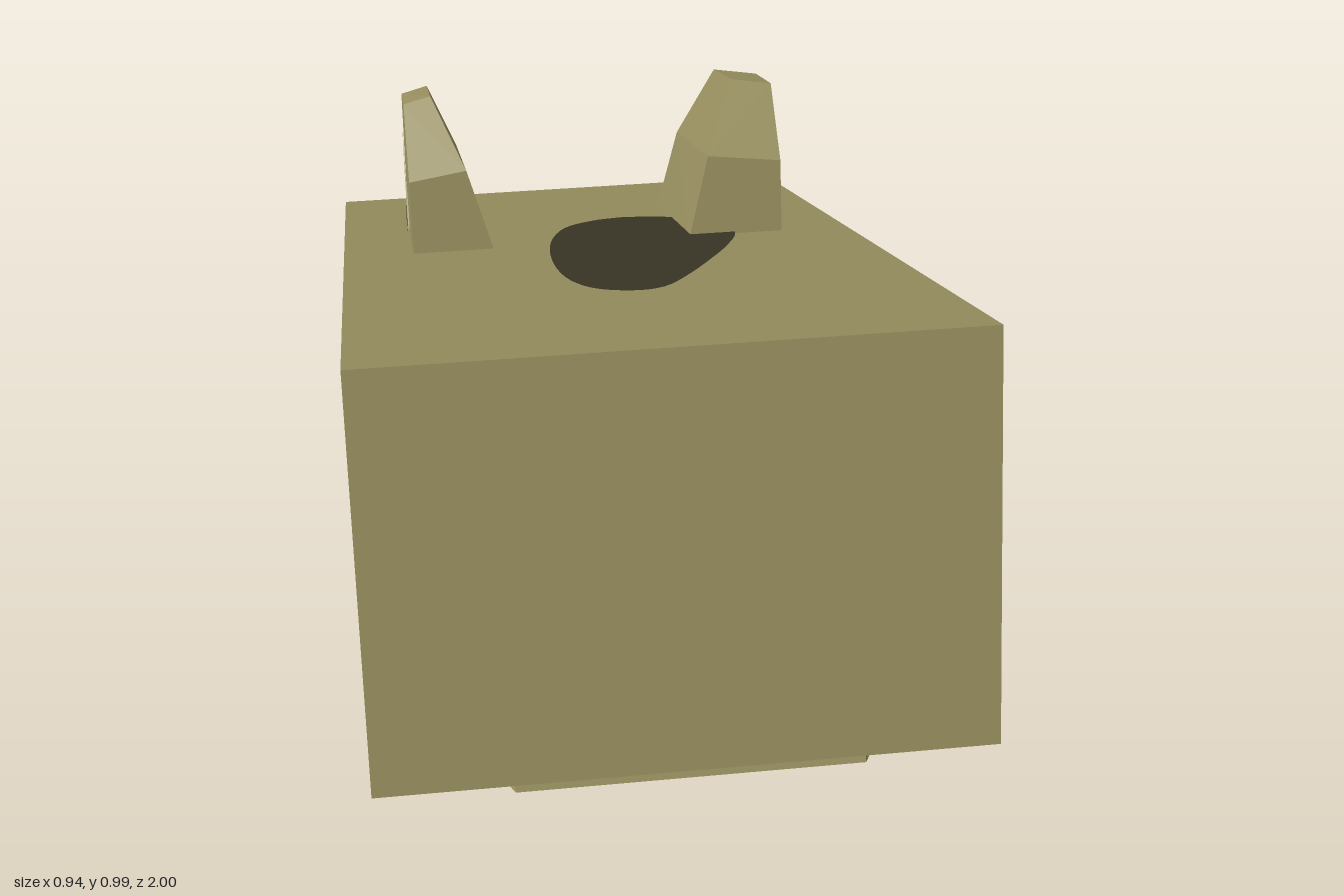
import * as THREE from 'three';
import { ConvexGeometry } from 'three/addons/geometries/ConvexGeometry.js';

const mat = (name, color) => Object.assign(new THREE.MeshStandardMaterial({ color }), { name });

// Height of the sloping top of the body at a given z
const topY = (z) => 0.18 + 0.4497 * (z + 1);

const smoothShape = (points, divisions = 48) =>
  new THREE.Shape(
    new THREE.SplineCurve([...points, points[0]].map(([a, b]) => new THREE.Vector2(a, b))).getPoints(divisions)
  );

export function createModel() {
  const olive = mat('olive', 0x9c9362);
  const dark = mat('dark brown', 0x3b3727);
  const pale = mat('pale cream', 0xcbc5a8);

  const group = new THREE.Group();
  const add = (name, geometry, material, parent = group) => {
    const mesh = new THREE.Mesh(geometry, material);
    mesh.name = name;
    parent.add(mesh);
    return mesh;
  };
  const hull = (points) => new ConvexGeometry(points.map((p) => new THREE.Vector3(...p)));

  // Wedge-shaped body: [z, y, right x, left x] for each profile corner
  const profile = [
    [1, 0.377, -0.472, 0.458],
    [0.788, 0.985, -0.472, 0.459],
    [-1, 0.18, -0.472, 0.465],
    [-0.59, 0, -0.465, 0.469],
  ];
  add('body', hull(profile.flatMap(([z, y, a, b]) => [[a, y, z], [b, y, z]])), olive);

  // Small tapered lip under the front edge
  const lip = [-1, 1].flatMap((s) => [
    [s * 0.262, 0.37, 0.96],
    [s * 0.262, 0.34, 0.977],
    [s * 0.34, 0.34, 0.835],
    [s * 0.262, 0.365, 0.9],
  ]);
  add('lip', hull(lip), olive);

  // Dark oval patch lying on the sloping top, outlined in x and z
  const outline = [
    [0.07, -0.48], [0.01, -0.455], [-0.05, -0.38], [-0.09, -0.22], [-0.107, -0.02],
    [-0.102, 0.17], [-0.07, 0.29], [-0.01, 0.338], [0.045, 0.32], [0.1, 0.22],
    [0.16, 0.08], [0.21, -0.05], [0.25, -0.19], [0.245, -0.3], [0.2, -0.4], [0.14, -0.46],
  ];
  const patch = new THREE.ShapeGeometry(smoothShape(outline.map(([x, z]) => [x, -z]), 64));
  const pos = patch.attributes.position;
  for (let i = 0; i < pos.count; i++) {
    const z = -pos.getY(i);
    pos.setXYZ(i, pos.getX(i), topY(z) + 0.004, z);
  }
  patch.computeVertexNormals();
  add('topPatch', patch, dark);

  // Faceted eye lumps; three tiers from base to ridge, each [y, z]
  const innerFront = [[0.53, -0.2], [0.68, -0.25], [0.77, -0.375]];
  const innerBack = [[0.335, -0.635], [0.515, -0.635], [0.69, -0.565]];
  const outerFront = [[0.53, -0.2], [0.665, -0.245], [0.76, -0.368]];
  const outerBack = [[0.38, -0.54], [0.51, -0.545], [0.7, -0.52]];

  // Eye outlines on the outer face, each [z, y]
  const eyeWhite = [
    [-0.281, 0.572], [-0.33, 0.6], [-0.385, 0.588], [-0.415, 0.64], [-0.45, 0.663], [-0.472, 0.63],
    [-0.49, 0.55], [-0.478, 0.495], [-0.44, 0.468], [-0.395, 0.472], [-0.36, 0.5], [-0.3, 0.53],
  ];
  const pupil = [
    [-0.312, 0.545], [-0.335, 0.562], [-0.365, 0.548], [-0.383, 0.522], [-0.37, 0.5], [-0.335, 0.506],
  ];

  const makeEye = (name, s, outerX, innerX) => {
    const eye = new THREE.Group();
    eye.name = name;
    group.add(eye);
    const points = [0, 1, 2].flatMap((t) => [
      ...[innerFront, innerBack].map((e) => [s * innerX[t], ...e[t]]),
      ...[outerFront, outerBack].map((e) => [s * outerX, ...e[t]]),
    ]);
    add('eyeLump', hull(points), olive, eye);

    const plate = (label, pts, material, lift) => {
      const g = new THREE.ShapeGeometry(smoothShape(pts.map(([z, y]) => [-s * z, y])));
      g.rotateY((s * Math.PI) / 2).translate(s * (outerX + lift), 0, 0);
      add(label, g, material, eye);
    };
    plate('eyeWhite', eyeWhite, pale, 0.003);
    plate('pupil', pupil, dark, 0.006);
  };
  makeEye('leftEye', 1, 0.34, [0.165, 0.205, 0.265]);
  makeEye('rightEye', -1, 0.345, [0.195, 0.24, 0.295]);

  return group;
}
